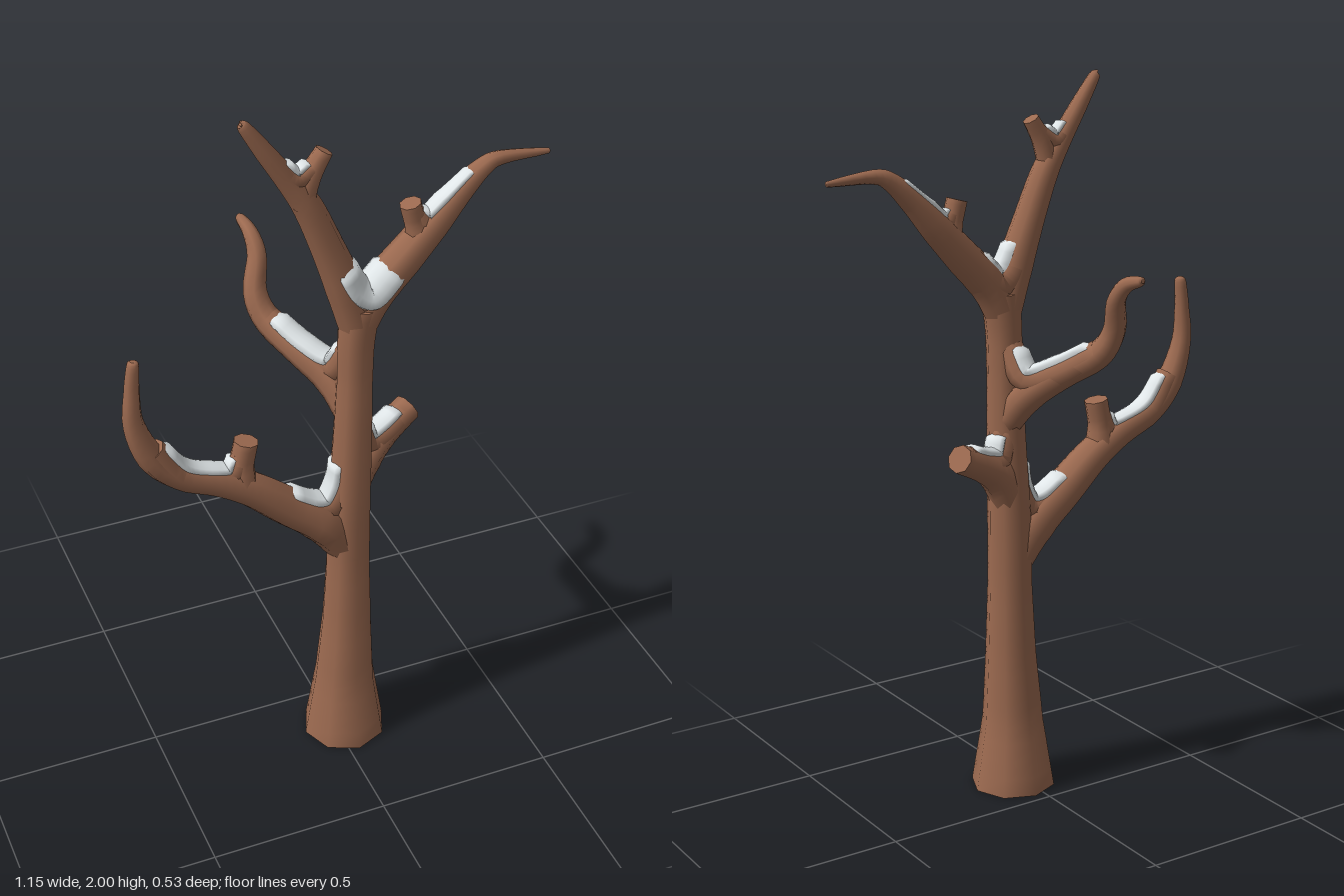
import * as THREE from 'three';

const SIDES = 8;
const Z = 0.145; // plane of the trunk and most branches

// Swept skin. Points are [x, y, z, radius]; angle 0 lies along ref x tangent.
function sweep(points, ref, from, to, cols, steps, radiusAt) {
  const curve = new THREE.CatmullRomCurve3(points.map(p => new THREE.Vector3(p[0], p[1], p[2])), false, 'catmullrom', 0.5);
  const pos = [], idx = [];
  const rings = (points.length - 1) * steps;
  for (let i = 0; i <= rings; i++) {
    const u = i / rings, c = curve.getPoint(u), t = curve.getTangent(u);
    const b = ref.clone().addScaledVector(t, -ref.dot(t)).normalize();
    const n = b.clone().cross(t);
    const k = Math.min(Math.floor(i / steps), points.length - 2);
    const r = THREE.MathUtils.lerp(points[k][3], points[k + 1][3], i / steps - k);
    for (let j = 0; j <= cols; j++) {
      const a = from + (to - from) * j / cols;
      const rr = radiusAt(r, u, j / cols);
      const p = c.clone().addScaledVector(n, Math.cos(a) * rr).addScaledVector(b, Math.sin(a) * rr);
      pos.push(p.x, p.y, p.z);
      if (i < rings && j < cols) {
        const q = i * (cols + 1) + j, s = q + cols + 1;
        idx.push(q, q + 1, s + 1, q, s + 1, s);
      }
    }
  }
  return { pos, idx, rings, curve };
}

function toGeometry(pos, idx) {
  const g = new THREE.BufferGeometry();
  g.setAttribute('position', new THREE.Float32BufferAttribute(pos, 3));
  g.setIndex(idx);
  g.computeVertexNormals();
  return g;
}

// Tapered round limb with flat cut ends
function limbGeometry(points, ref) {
  const { pos, idx, rings, curve } = sweep(points, ref, 0, Math.PI * 2, SIDES, 4, r => r);
  const row = SIDES + 1;
  for (const [ring, u] of [[0, 0], [rings, 1]]) {
    const base = pos.length / 3, c = curve.getPoint(u);
    pos.push(...pos.slice(ring * row * 3, (ring + 1) * row * 3), c.x, c.y, c.z);
    for (let j = 0; j < SIDES; j++) {
      if (u) idx.push(base + j, base + j + 1, base + row);
      else idx.push(base + j + 1, base + j, base + row);
    }
  }
  const g = toGeometry(pos, idx);
  // Match the normals along the seam
  const nor = g.attributes.normal;
  for (let i = 0; i <= rings; i++) {
    const a = i * row, b = a + SIDES;
    const v = new THREE.Vector3().fromBufferAttribute(nor, a)
      .add(new THREE.Vector3().fromBufferAttribute(nor, b)).normalize();
    nor.setXYZ(a, v.x, v.y, v.z);
    nor.setXYZ(b, v.x, v.y, v.z);
  }
  return g;
}

// Snow blanket over a limb, tucked into the bark along its rim
function snowGeometry(points, ref, from, to) {
  const { pos, idx } = sweep(points, ref, from, to, 8, 5, (r, u, v) =>
    r + (u === 0 || u === 1 || v === 0 || v === 1 ? -0.012 : 0.008));
  return toGeometry(pos, idx);
}

export function createModel() {
  const tree = new THREE.Group();
  tree.name = 'bareWinterTree';
  const bark = new THREE.MeshStandardMaterial({ color: 0x9c6a50 });
  bark.name = 'brown bark';
  const snow = new THREE.MeshStandardMaterial({ color: 0xdfe5e7 });
  snow.name = 'white snow';

  const add = (name, geometry, material) => {
    const m = new THREE.Mesh(geometry, material);
    m.name = name;
    tree.add(m);
  };
  const flat = pts => pts.map(([x, y, r]) => [x, y, Z, r]);

  // Reference directions across each limb, so that angle 0 faces up
  const rightward = new THREE.Vector3(0, 0, 1);
  const leftward = new THREE.Vector3(0, 0, -1);
  const backward = new THREE.Vector3(0.9, 0, -0.4).normalize();
  const stubward = new THREE.Vector3(0.35, 0, 0.94).normalize();

  // Trunk and limbs
  const limbs = {
    trunk: [rightward, flat([[0.03, 0, 0.12], [0.03, 0.2, 0.088], [0.035, 0.4, 0.073], [0.037, 0.6, 0.064],
      [0.038, 0.8, 0.062], [0.045, 1.0, 0.056], [0.05, 1.2, 0.05], [0.052, 1.32, 0.051], [0.062, 1.43, 0.055]])],
    lowerBranch: [leftward, flat([[0.035, 0.65, 0.05], [-0.04, 0.765, 0.064], [-0.14, 0.845, 0.056],
      [-0.24, 0.93, 0.05], [-0.33, 0.985, 0.045], [-0.44, 1.035, 0.041], [-0.51, 1.11, 0.038],
      [-0.55, 1.22, 0.028], [-0.55, 1.32, 0.021], [-0.543, 1.395, 0.017], [-0.542, 1.408, 0.008]])],
    lowerBranchStub: [leftward, flat([[-0.27, 0.95, 0.045], [-0.266, 1.02, 0.034], [-0.253, 1.09, 0.034]])],
    cutBranch: [stubward, [[0.04, 0.83, 0.14, 0.045], [0.085, 0.925, 0.125, 0.052],
      [0.16, 0.975, 0.095, 0.042], [0.243, 1.015, 0.066, 0.039]]],
    backBranch: [backward, [[0.05, 1.07, 0.135, 0.04], [0.02, 1.16, 0.07, 0.047], [-0.04, 1.225, 0, 0.043],
      [-0.1, 1.285, -0.085, 0.038], [-0.12, 1.355, -0.125, 0.032], [-0.1, 1.44, -0.16, 0.026],
      [-0.102, 1.488, -0.2, 0.021], [-0.11, 1.506, -0.25, 0.014], [-0.111, 1.508, -0.261, 0.006]]],
    upperLeftBranch: [leftward, flat([[0.055, 1.37, 0.05], [0.015, 1.5, 0.05], [-0.03, 1.62, 0.043],
      [-0.08, 1.74, 0.038], [-0.13, 1.82, 0.03], [-0.19, 1.91, 0.024], [-0.24, 1.985, 0.016], [-0.247, 1.995, 0.007]])],
    upperLeftStub: [rightward, flat([[-0.095, 1.74, 0.03], [-0.075, 1.82, 0.029], [-0.037, 1.885, 0.023]])],
    upperRightBranch: [rightward, flat([[0.05, 1.36, 0.05], [0.1, 1.455, 0.053], [0.18, 1.54, 0.05],
      [0.26, 1.625, 0.044], [0.33, 1.7, 0.034], [0.39, 1.753, 0.025], [0.44, 1.77, 0.019],
      [0.56, 1.763, 0.009], [0.575, 1.762, 0.004]])],
    upperRightStub: [rightward, flat([[0.225, 1.58, 0.04], [0.208, 1.64, 0.029], [0.194, 1.692, 0.029]])],
  };
  for (const [name, [ref, pts]] of Object.entries(limbs)) add(name, limbGeometry(pts, ref), bark);

  // Rounded crotches between limbs, each with snow lying in it
  const crotches = {
    lowerCrotch: [leftward, -1, 1, flat([[0.034, 0.96, 0.045], [0.022, 0.88, 0.046], [-0.015, 0.815, 0.044],
      [-0.08, 0.815, 0.05], [-0.165, 0.87, 0.048]])],
    lowerStubCrotch: [leftward, -1, 1, flat([[-0.268, 1.05, 0.028], [-0.29, 0.995, 0.034], [-0.35, 0.995, 0.04],
      [-0.44, 1.035, 0.041], [-0.505, 1.13, 0.034]])],
    cutBranchCrotch: [stubward, -1, 1, [[0.06, 1.04, 0.135, 0.04], [0.09, 0.972, 0.122, 0.04],
      [0.15, 0.978, 0.1, 0.04], [0.215, 1.005, 0.076, 0.038]]],
    backCrotch: [backward, -1.1, 1.1, [[0.045, 1.28, 0.125, 0.038], [0.025, 1.2, 0.07, 0.04],
      [-0.035, 1.225, 0.002, 0.042], [-0.1, 1.288, -0.085, 0.037]]],
    topFork: [rightward, -1, 2.1, flat([[-0.008, 1.56, 0.045], [0.035, 1.475, 0.049], [0.09, 1.452, 0.052],
      [0.16, 1.52, 0.05]])],
    upperLeftCrotch: [rightward, -1, 1, flat([[-0.158, 1.866, 0.024], [-0.112, 1.82, 0.029], [-0.062, 1.85, 0.024]])],
    upperRightCrotch: [rightward, -1, 1, flat([[0.205, 1.665, 0.024], [0.24, 1.625, 0.034], [0.295, 1.663, 0.037],
      [0.385, 1.75, 0.024]])],
  };
  for (const [name, [ref, from, to, pts]] of Object.entries(crotches)) {
    add(name, limbGeometry(pts, ref), bark);
    add(name + 'Snow', snowGeometry(pts, ref, from, to), snow);
  }
  return tree;
}
